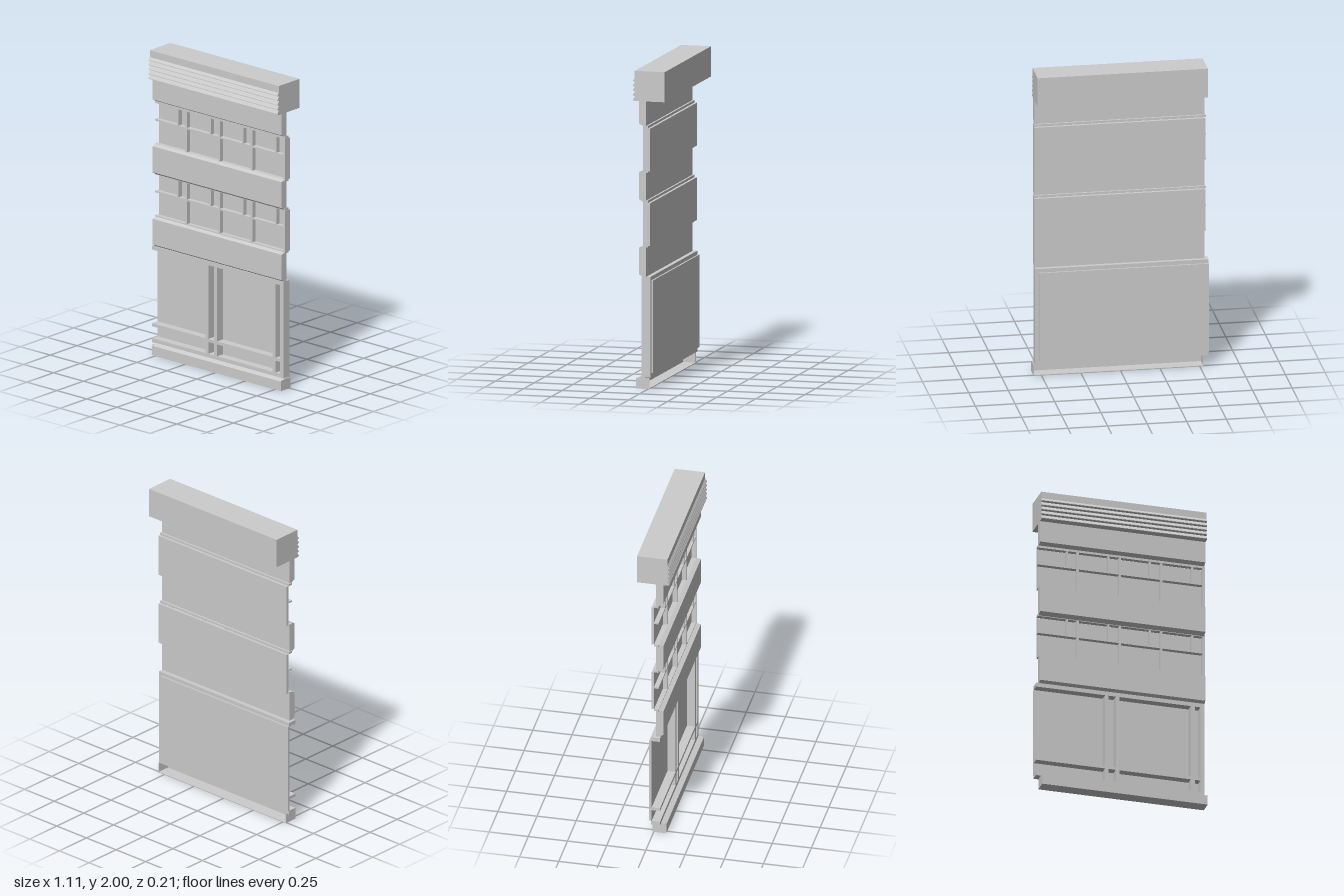
import * as THREE from 'three';

const grey = new THREE.MeshStandardMaterial({ color: 0xcccccc, flatShading: true });

// Box given by its limits on each axis
function block(parent, name, x0, x1, y0, y1, z0, z1) {
  const mesh = new THREE.Mesh(new THREE.BoxGeometry(x1 - x0, y1 - y0, z1 - z0), grey);
  mesh.position.set((x0 + x1) / 2, (y0 + y1) / 2, (z0 + z1) / 2);
  mesh.name = name;
  parent.add(mesh);
}

// Moulding: a [z, y] section swept from x0 to x1
function moulding(parent, name, x0, x1, section) {
  const shape = new THREE.Shape(section.map(([z, y]) => new THREE.Vector2(-z, y)));
  const geo = new THREE.ExtrudeGeometry(shape, { depth: x1 - x0, bevelEnabled: false });
  geo.rotateY(Math.PI / 2).translate(x0, 0, 0);
  const mesh = new THREE.Mesh(geo, grey);
  mesh.name = name;
  parent.add(mesh);
}

// Row of windows: backing, rails, tall mullions and short upper mullions
function windowRow(name, y) {
  const row = new THREE.Group();
  row.name = name;
  block(row, 'windowPanes', -0.535, 0.54, y + 0.01, y + 0.28, -0.011, 0.005);
  block(row, 'rightJamb', 0.53, 0.545, y + 0.01, y + 0.28, -0.011, 0.035);
  for (const [part, a, b] of [['sillRail', 0, 0.013], ['transom', 0.164, 0.174], ['headRail', 0.281, 0.296]])
    block(row, part, -0.54, 0.545, y + a, y + b, 0.004, 0.035);
  for (const x of [-0.281, -0.006, 0.264])
    block(row, 'mullion', x - 0.007, x + 0.007, y + 0.01, y + 0.285, 0.004, 0.035);
  for (const x of [-0.35, -0.08, 0.19, 0.465])
    block(row, 'upperMullion', x - 0.006, x + 0.006, y + 0.17, y + 0.285, 0.004, 0.035);
  return row;
}

export function createModel() {
  const facade = new THREE.Group();
  facade.name = 'facade';
  const L = -0.535, R = 0.54;

  // Cornice with five saw-tooth ridges on its front
  const cornice = [[-0.104, 1.81], [-0.104, 2], [0.09, 2], [0.09, 1.955]];
  for (let i = 0; i < 5; i++) {
    const y = 1.93 - i * 0.03;
    cornice.push([0.102, y + 0.009], [0.102, y + 0.005], [0.088, y]);
  }
  moulding(facade, 'cornice', L, R, cornice);

  // Plain bands between the floors
  moulding(facade, 'topBand', L, R,
    [[0.016, 1.64], [0.016, 1.81], [0.063, 1.81], [0.063, 1.67], [0.036, 1.655], [0.036, 1.64]]);
  for (const [name, top, bottom] of [['middleBand', 1.373, 1.175], ['lowerBand', 0.897, 0.702]])
    moulding(facade, name, L, R, [[0.016, bottom], [0.016, top], [0.036, top],
      [0.063, top - 0.01], [0.063, bottom + 0.018], [0.036, bottom]]);

  facade.add(windowRow('upperWindows', 1.36), windowRow('lowerWindows', 0.89));

  // Ground floor: deep frame in front of a back panel
  const ground = new THREE.Group();
  ground.name = 'groundFloor';
  const z0 = -0.011, z1 = 0.047;
  block(ground, 'backPanel', -0.555, 0.515, 0.097, 0.68, -0.022, -0.006);
  for (const [name, a, b] of [['bottomRail', 0.07, 0.097], ['middleRail', 0.175, 0.195], ['topRail', 0.678, 0.705]])
    block(ground, name, -0.555, R, a, b, z0, z1);
  for (const [a, b] of [[-0.107, -0.085], [-0.037, -0.012], [0.45, 0.476], [0.513, R]])
    block(ground, 'post', a, b, 0.09, 0.69, z0, z1);
  facade.add(ground);

  // Plinth: channel open at the back, closed at both ends
  moulding(facade, 'plinth', -0.525, 0.55, [[-0.008, 0], [0.08, 0], [0.08, 0.062], [0.047, 0.073],
    [0.02, 0.073], [0.02, 0.068], [0.045, 0.068], [0.075, 0.058], [0.075, 0.004], [-0.008, 0.004]]);
  for (const x of [-0.525, 0.546])
    block(facade, 'plinthEnd', x, x + 0.004, 0.001, 0.068, -0.008, 0.076);

  return facade;
}
